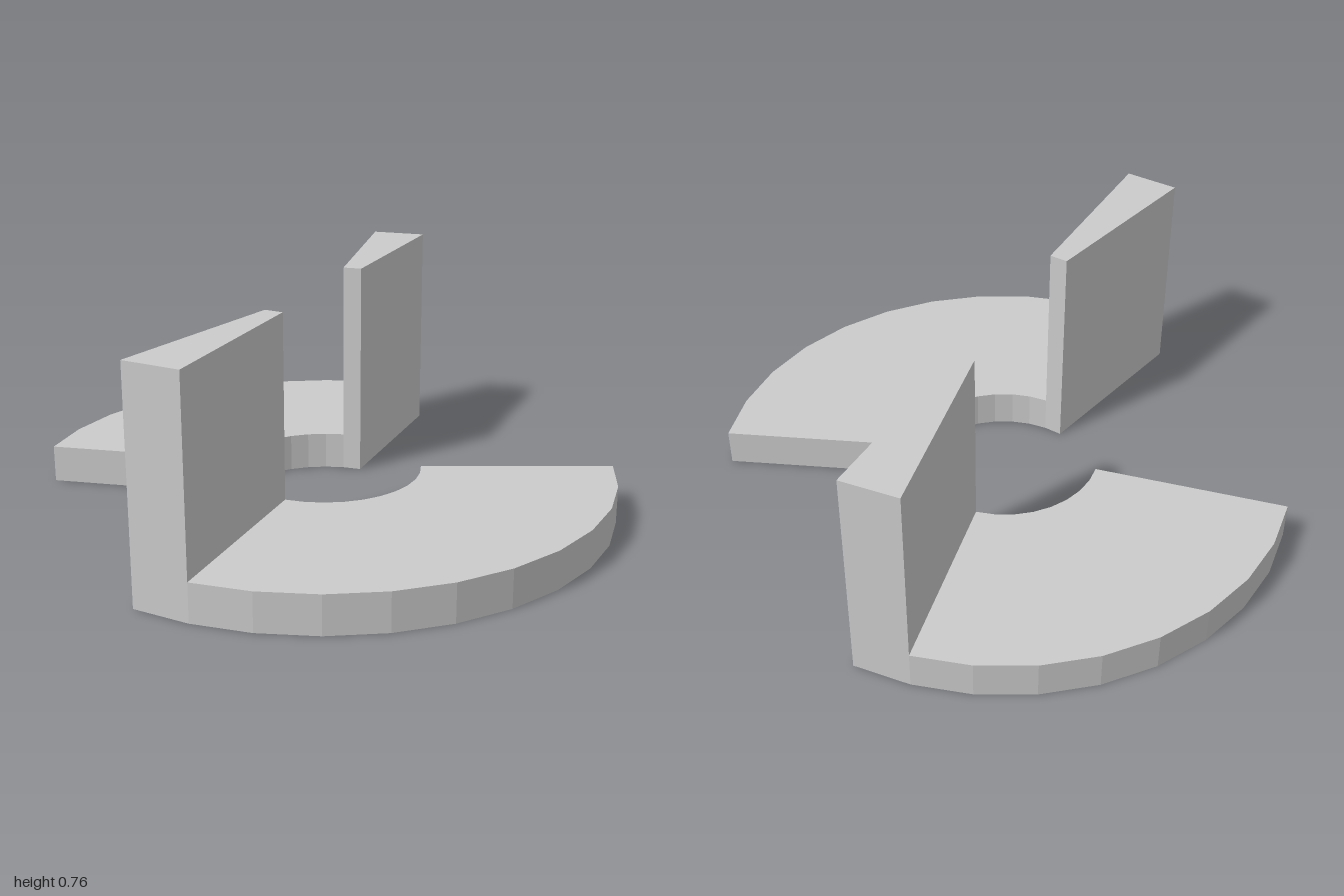
import * as THREE from 'three';

const STEP = Math.PI / 16; // 32-sided ring
const INNER = 0.333, OUTER = 1;
const BASE_HEIGHT = 0.13, WALL_HEIGHT = 0.76;

const material = new THREE.MeshStandardMaterial({ color: 0xcccccc, flatShading: true });

// Ring sector standing on the ground; steps are counted from +x towards +z
function sector(name, from, to, height) {
  const points = [];
  const add = (i, r) => points.push(new THREE.Vector2(r * Math.cos(i * STEP), -r * Math.sin(i * STEP)));
  for (let i = from; i <= to; i++) add(i, OUTER);
  for (let i = to; i >= from; i--) add(i, INNER);
  const geometry = new THREE.ExtrudeGeometry(new THREE.Shape(points), { depth: height, bevelEnabled: false });
  geometry.rotateX(-Math.PI / 2);
  const mesh = new THREE.Mesh(geometry, material);
  mesh.name = name;
  return mesh;
}

export function createModel() {
  const model = new THREE.Group();
  model.name = 'splitRing';
  model.position.x = -0.046; // the arcs reach further to +x than to -x

  // Low curved slabs, each ending in a tall one-step wall
  model.add(
    sector('frontBase', 2, 12, BASE_HEIGHT),
    sector('frontWall', 12, 13, WALL_HEIGHT),
    sector('backBase', 19, 27, BASE_HEIGHT),
    sector('backWall', 27, 28, WALL_HEIGHT),
  );

  const root = new THREE.Group();
  root.add(model);
  return root;
}
